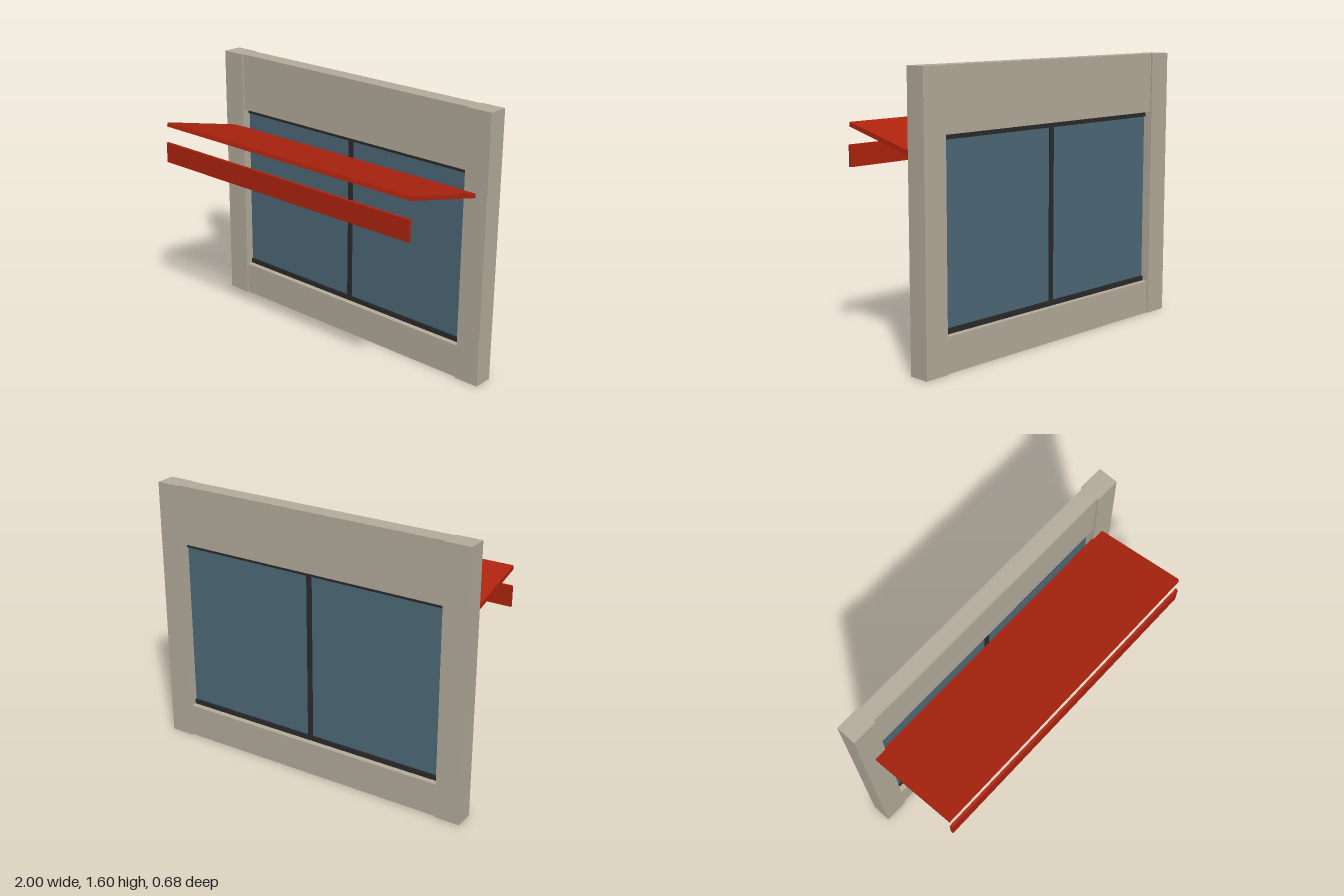
import * as THREE from 'three';

export function createModel() {
  const model = new THREE.Group();
  model.name = 'shopWindow';

  const material = (name, color) => {
    const m = new THREE.MeshStandardMaterial({ color });
    m.name = name;
    return m;
  };
  const stone = material('stone', 0xb5ad9d);
  const frame = material('dark frame', 0x2b2b2d);
  const glass = material('blue glass', 0x4e6a79);
  const red = material('awning red', 0xb0240f);

  // Box given by its lowest and highest corners
  const box = (name, mat, [x0, y0, z0], [x1, y1, z1]) => {
    const mesh = new THREE.Mesh(new THREE.BoxGeometry(x1 - x0, y1 - y0, z1 - z0), mat);
    mesh.position.set((x0 + x1) / 2, (y0 + y1) / 2, (z0 + z1) / 2);
    mesh.name = name;
    model.add(mesh);
    return mesh;
  };

  // Side pillars, slightly deeper than the wall between them
  box('leftPillar', stone, [0.85, 0, -0.342], [1, 1.6, -0.222]);
  box('rightPillar', stone, [-1, 0, -0.342], [-0.85, 1.6, -0.222]);

  // Wall below and above the window
  box('lowerWall', stone, [-0.85, 0, -0.332], [0.85, 0.2, -0.232]);
  box('upperWall', stone, [-0.85, 1.25, -0.332], [0.85, 1.6, -0.232]);

  // Glazing with top and bottom rails and a central mullion
  box('glassPane', glass, [-0.85, 0.2, -0.288], [0.85, 1.25, -0.276]);
  box('bottomRail', frame, [-0.85, 0.2, -0.298], [0.85, 0.23, -0.266]);
  box('topRail', frame, [-0.85, 1.22, -0.298], [0.85, 1.25, -0.266]);
  box('mullion', frame, [-0.015, 0.23, -0.297], [0.015, 1.22, -0.267]);

  // Sloping awning, rising toward the front
  const awning = box('awning', red, [-0.925, -0.0125, -0.288], [0.925, 0.0125, 0.288]);
  awning.position.set(0, 1.194, 0.051);
  awning.rotation.x = -0.242;

  // Valance strip hanging below the awning's front edge
  box('valance', red, [-0.925, 1.03, 0.326], [0.925, 1.152, 0.342]);

  return model;
}
